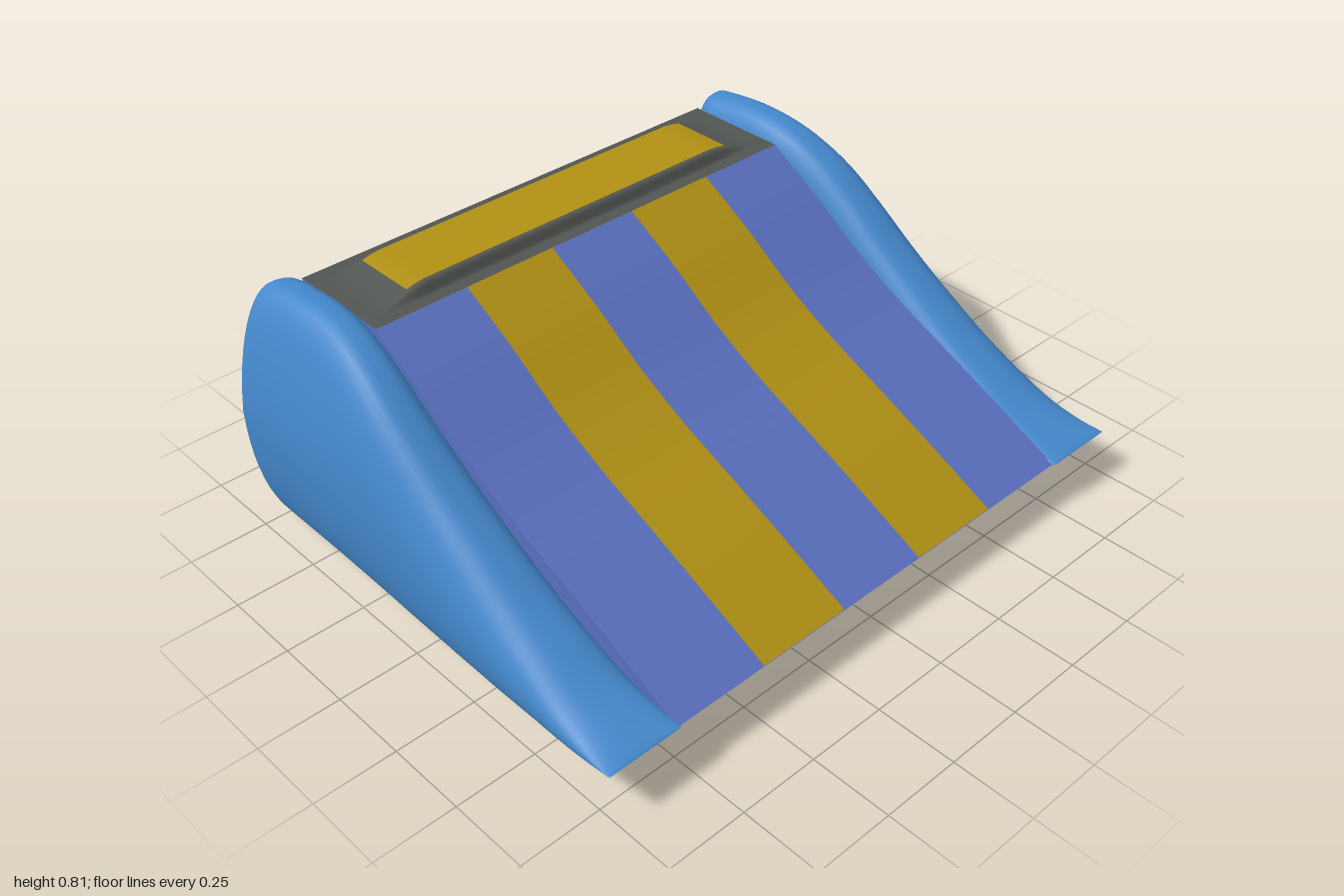
import * as THREE from 'three';

const mat = (color, side = THREE.FrontSide) => new THREE.MeshStandardMaterial({ color, side });
const BLUE = mat(0x4488cc), DECK = mat(0x5a70c0), GREY = mat(0x525652, THREE.DoubleSide);
const YELLOW = mat(0xb09014, THREE.DoubleSide);

// Sloping deck line as (z, y), from the front lip to the top edge
const deckCurve = new THREE.SplineCurve([
  [0.78, 0.14], [0.57, 0.24], [0.35, 0.34], [0.16, 0.425], [0, 0.51],
  [-0.1, 0.575], [-0.2, 0.643], [-0.3, 0.703], [-0.39, 0.755],
].map(p => new THREE.Vector2(...p)));

function named(geometry, material, name) {
  const mesh = new THREE.Mesh(geometry, material);
  mesh.name = name;
  return mesh;
}

// Flat grid facing up, with every vertex moved by a rule
function sheet(w, d, nx, nz, rule) {
  const g = new THREE.PlaneGeometry(w, d, nx, nz).rotateX(-Math.PI / 2);
  const p = g.attributes.position;
  for (let i = 0; i < p.count; i++) p.setXYZ(i, ...rule(p.getX(i), p.getZ(i)));
  g.computeVertexNormals();
  return g;
}

// Padded side: rounded sections lofted from the thin front tip to the bulging back
const sideCurve = new THREE.CatmullRomCurve3([
  // z, bottom, top
  [0.785, 0.140, 0.150], [0.7, 0.106, 0.174], [0.6, 0.080, 0.207], [0.47, 0.056, 0.272],
  [0.35, 0.037, 0.338], [0.2, 0.022, 0.432], [0.05, 0.013, 0.532], [-0.1, 0.007, 0.642],
  [-0.23, 0.004, 0.730], [-0.35, 0.001, 0.785], [-0.45, 0, 0.808], [-0.55, 0, 0.813],
  [-0.65, 0, 0.807], [-0.735, 0.002, 0.797],
].map(p => new THREE.Vector3(...p)));

function sideGeometry(sign) {
  const rows = [[0.79, 0.145, 0.145, 0.98]], N = 48, M = 48;
  for (let i = 0; i <= N; i++) {
    const q = sideCurve.getPoint(i / N);
    rows.push([q.x, q.y, q.z, 1]);
  }
  // rounded back cap: z and shrink factor
  for (const [z, k] of [[-0.76, 0.985], [-0.776, 0.955], [-0.788, 0.9], [-0.795, 0.8], [-0.799, 0.55], [-0.8, 0.001]]) {
    rows.push([z, 0.402 - 0.4 * k, 0.402 + 0.394 * k, k]);
  }
  const pos = [], idx = [];
  const pw = (v, e) => Math.sign(v) * Math.abs(v) ** (2 / e);
  for (const [z, bottom, top, k] of rows) {
    const back = THREE.MathUtils.smoothstep(-z, 0.1, 0.5);
    const half = 0.12 + 0.008 * back, cx = 1 - half;
    for (let j = 0; j < M; j++) {
      const a = j / M * Math.PI * 2, c = Math.cos(a), s = Math.sin(a);
      const e = c < 0 && s > 0 ? 3.2 : 2.2;           // squarer on the upper inner edge
      const nx = pw(c, e), ny = pw(s, e);
      const lean = 0.036 * back * Math.max(0, ny) * (0.6 + 0.4 * nx);
      const skew = 0.02 * (1 - nx * k) * THREE.MathUtils.smoothstep(-z, 0.5, 0.79);
      pos.push(sign * (cx + half * k * nx - lean), (top + bottom) / 2 + (top - bottom) / 2 * ny, z + skew);
    }
  }
  // outward-facing triangles, turned over for the mirrored side
  const tri = (a, b, c) => (sign > 0 ? idx.push(a, c, b) : idx.push(a, b, c));
  for (let i = 0; i < rows.length - 1; i++) for (let j = 0; j < M; j++) {
    const a = i * M + j, b = i * M + (j + 1) % M, c = a + M, d = b + M;
    tri(a, b, c);
    tri(b, d, c);
  }
  const g = new THREE.BufferGeometry();
  g.setAttribute('position', new THREE.Float32BufferAttribute(pos, 3));
  g.setIndex(idx);
  g.computeVertexNormals();
  return g;
}

// Height of the raised top tray: steep long edges, gently sloping ends
function trayHeight(x, z) {
  const ss = THREE.MathUtils.smoothstep;
  const ends = 1 - ss(Math.abs(x), 0.54, 0.73);
  const edges = 1 - ss(Math.abs(z + 0.567), 0.116, 0.135);
  return 0.757 + 0.033 * ends * edges;
}

export function createModel() {
  const model = new THREE.Group();
  model.name = 'paddedRamp';

  // Solid ramp body with a flat underside and upright back
  const shape = new THREE.Shape(deckCurve.getPoints(40));
  shape.lineTo(-0.742, 0.755);
  shape.lineTo(-0.742, 0.14);
  shape.closePath();
  const body = new THREE.ExtrudeGeometry(shape, { depth: 1.53, bevelEnabled: false });
  body.rotateY(-Math.PI / 2).translate(0.765, 0, 0);
  model.add(named(body, DECK, 'rampBody'));

  // Mirrored stripes and padded sides
  for (const sign of [1, -1]) {
    const label = sign > 0 ? 'left' : 'right';
    const stripe = sheet(0.306, 1, 1, 40, (x, z) => {
      const q = deckCurve.getPoint(0.5 - z);
      return [x + sign * 0.306, q.y + 0.003, q.x];
    });
    model.add(named(stripe, YELLOW, label + 'Stripe'));
    model.add(named(sideGeometry(sign), BLUE, label + 'PaddedSide'));
  }

  // Grey top tray and the coloured panel lying on it
  const tray = sheet(1.53, 0.355, 60, 60, (x, z) => [x, trayHeight(x, z - 0.5675), z - 0.5675]);
  model.add(named(tray, GREY, 'topTray'));
  const panel = sheet(1.22, 0.21, 40, 8, (x, z) => [x, trayHeight(x, z - 0.567) + 0.003, z - 0.567]);
  model.add(named(panel, YELLOW, 'topPanel'));

  return model;
}
